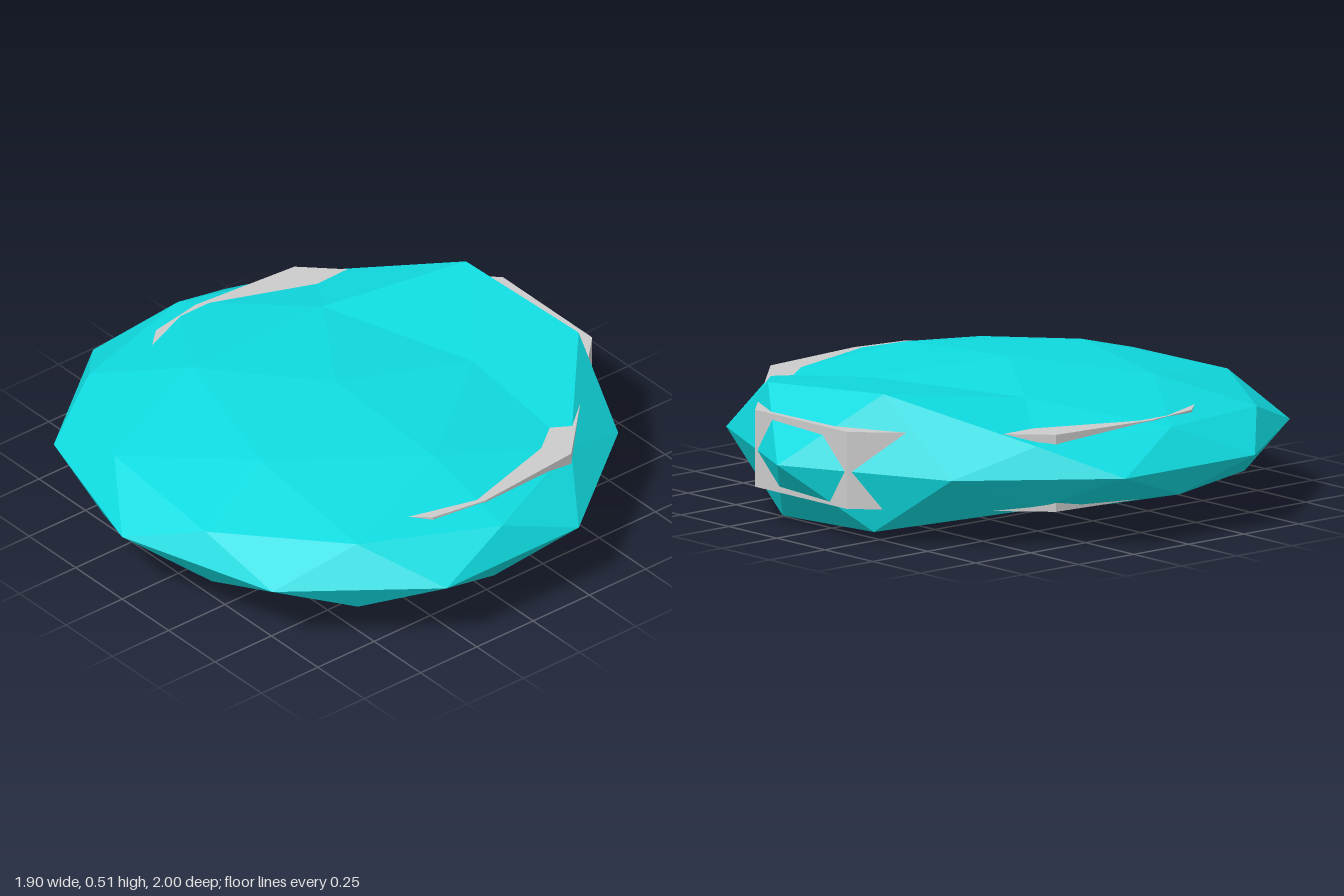
import * as THREE from 'three';
import { ConvexGeometry } from 'three/addons/geometries/ConvexGeometry.js';

// Unit sphere of 42 points: pole-aligned icosahedron plus its edge midpoints
function icoPoints() {
  const base = [new THREE.Vector3(0, 1, 0), new THREE.Vector3(0, -1, 0)];
  const h = 1 / Math.sqrt(5), r = 2 * h;
  for (let k = 0; k < 5; k++) {
    const a = (k * 2 * Math.PI) / 5;
    base.push(new THREE.Vector3(r * Math.cos(a), h, r * Math.sin(a)));
    base.push(new THREE.Vector3(-r * Math.cos(a), -h, -r * Math.sin(a)));
  }
  const points = [...base];
  base.forEach((p, i) => base.slice(i + 1).forEach((q) => {
    if (p.distanceTo(q) < 1.1) points.push(p.clone().add(q).normalize());
  }));
  return points;
}

function facetedBody() {
  const geo = new ConvexGeometry(icoPoints());
  geo.scale(1, 0.235, 0.95);
  geo.translate(0, 0.25, 0.05);
  // Flare the five rearmost points outward, up and down
  const p = geo.attributes.position;
  for (let i = 0; i < p.count; i++) {
    const y = p.getY(i), z = p.getZ(i);
    if (z < -0.7 && Math.abs(p.getX(i)) < 0.4) {
      p.setY(i, 0.25 + (y - 0.25) * 2.07);
      p.setZ(i, -0.745 + 1.4 * (z + 0.719));
    }
  }
  geo.computeVertexNormals();
  return geo;
}

// Flat slab inside the body whose corners break through the surface
function slab() {
  const half = [[0.24, -0.89], [0.745, -0.38], [0.78, 0.03], [0.745, 0.235], [0.55, 0.45], [0.2, 0.6]];
  const outline = [...half, ...half.map(([x, z]) => [-x, z]).reverse()];
  const shape = new THREE.Shape(outline.map(([x, z]) => new THREE.Vector2(x, z)));
  const geo = new THREE.ExtrudeGeometry(shape, { depth: 0.27, bevelEnabled: false });
  geo.rotateX(Math.PI / 2);
  geo.translate(0, 0.39, 0);
  return geo;
}

export function createModel() {
  const group = new THREE.Group();
  const add = (name, geo, color) => {
    const mesh = new THREE.Mesh(geo, new THREE.MeshStandardMaterial({ color, flatShading: true }));
    mesh.name = name;
    group.add(mesh);
  };
  add('facetedBody', facetedBody(), 0x0fdbe0);
  add('innerSlab', slab(), 0xcccccc);
  return group;
}
